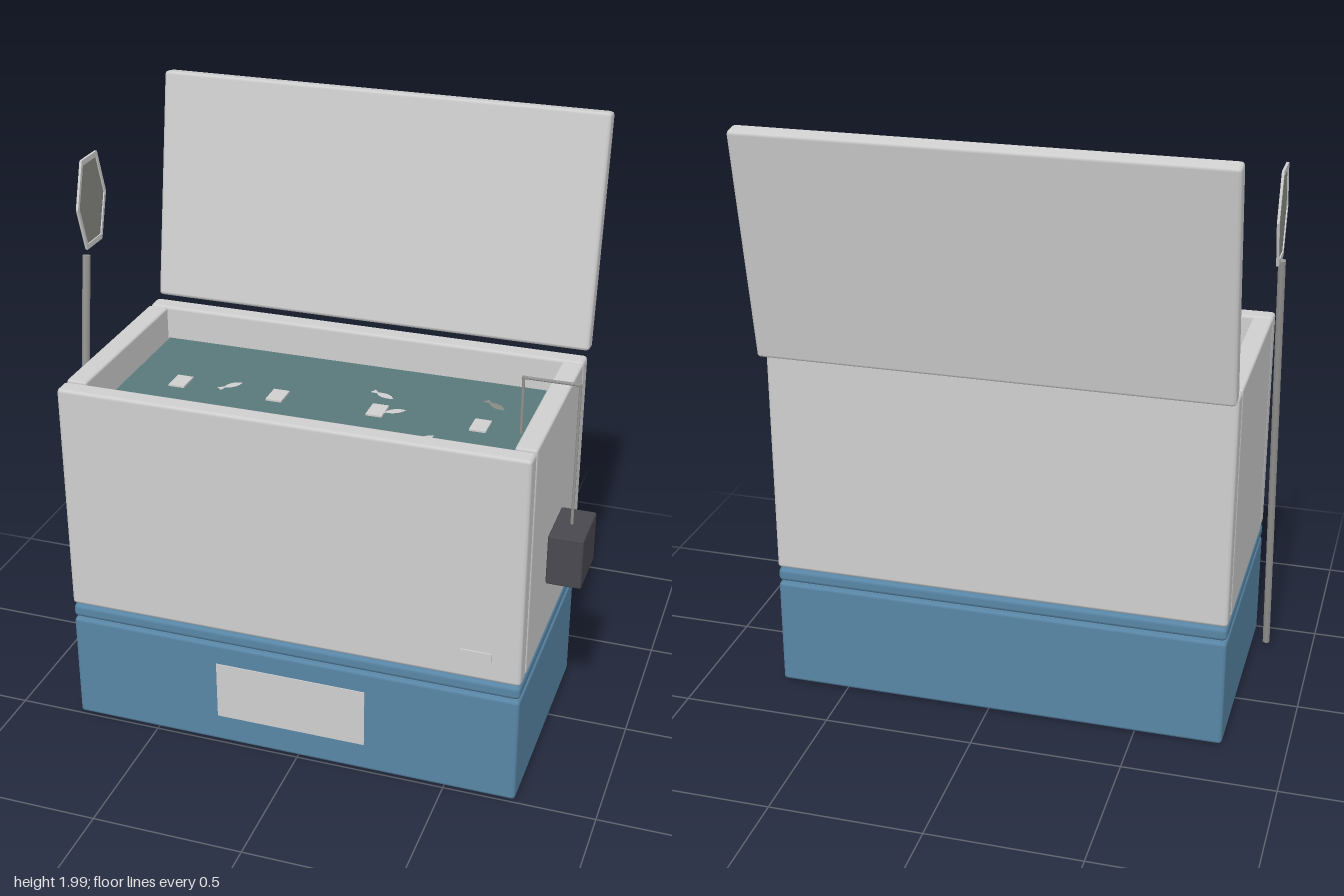
import * as THREE from 'three';
import { RoundedBoxGeometry } from 'three/addons/geometries/RoundedBoxGeometry.js';

const material = (name, color, side = THREE.FrontSide) => {
  const m = new THREE.MeshStandardMaterial({ color, side });
  m.name = name;
  return m;
};

export function createModel() {
  const model = new THREE.Group();
  model.name = 'liveFishTank';

  const shell = material('shellGrey', 0xcfcfcf, THREE.DoubleSide);
  const blue = material('baseBlue', 0x5986a6);
  const teal = material('waterTeal', 0x59787b);
  const dark = material('pumpDark', 0x49484f);
  const metal = material('metalGrey', 0x959593);
  const mesh = material('netGrey', 0x898b85, THREE.DoubleSide);

  const add = (name, geometry, mat, x = 0, y = 0, z = 0) => {
    const part = new THREE.Mesh(geometry, mat);
    part.name = name;
    part.position.set(x, y, z);
    model.add(part);
    return part;
  };
  // Box given by its limits, with chamfered edges when bevel > 0
  const block = (name, mat, [x0, x1], [y0, y1], [z0, z1], bevel = 0) => {
    const size = [x1 - x0, y1 - y0, z1 - z0];
    const g = bevel ? new RoundedBoxGeometry(...size, 1, bevel) : new THREE.BoxGeometry(...size);
    return add(name, g, mat, (x0 + x1) / 2, (y0 + y1) / 2, (z0 + z1) / 2);
  };

  const X = [-0.79, 0.735], Z = [-0.295, 0.492], wallY = [0.44, 1.228];

  // Base and trim band
  block('base', blue, X, [0.005, 0.382], Z, 0.012);
  block('trimBand', blue, X, [0.388, 0.435], Z, 0.015);
  block('frontLabel', shell, [-0.28, 0.23], [0.105, 0.31], [0.491, 0.495]);

  // Insulated walls
  block('frontWall', shell, X, wallY, [0.425, 0.492], 0.012);
  block('backWall', shell, X, wallY, [-0.295, -0.228], 0.012);
  block('rightWall', shell, [-0.79, -0.72], wallY, [-0.222, 0.419], 0.008);
  block('leftWall', shell, [0.665, 0.735], wallY, [-0.222, 0.419], 0.008);
  block('drainPlate', shell, [0.54, 0.64], [0.515, 0.545], [0.49, 0.497]);

  // Open lid, leaning back
  const lid = add('lid', new RoundedBoxGeometry(1.525, 0.775, 0.06, 1, 0.012), shell, -0.0275, 1.612, -0.398);
  lid.rotation.x = -0.171;

  // Water and floating tags
  block('water', teal, [-0.722, 0.667], [0.45, 1.112], [-0.23, 0.427]);
  for (const x of [-0.54, -0.2, 0.14, 0.48])
    block('floatingTag', shell, [x - 0.027, x + 0.027], [1.112, 1.118], [0.055, 0.135]);

  // Small flat fish at the surface: x, z, heading in degrees
  const outline = new THREE.Shape();
  outline.moveTo(0.045, 0);
  outline.quadraticCurveTo(0.01, 0.028, -0.025, 0.004);
  outline.lineTo(-0.045, 0.013);
  outline.lineTo(-0.045, -0.013);
  outline.lineTo(-0.025, -0.004);
  outline.quadraticCurveTo(0.01, -0.028, 0.045, 0);
  const fishGeometry = new THREE.ShapeGeometry(outline, 4).rotateX(-Math.PI / 2);
  const school = [
    [-0.37, 0.075, 50], [-0.425, 0.29, 35], [-0.445, 0.315, 60], [-0.35, 0.29, 68], [0.125, -0.015, -25],
    [0.19, 0.09, 30], [0.335, 0.245, 52], [0.435, 0.295, -65], [0.49, -0.055, -35],
  ];
  school.forEach(([x, z, angle], i) => {
    const last = i === school.length - 1;
    const fish = add('fish', fishGeometry, last ? mesh : shell, x, 1.117, z);
    fish.rotation.y = THREE.MathUtils.degToRad(angle);
  });

  // Air pump with its hooked hose
  block('airPump', dark, [0.735, 0.85], [0.645, 0.82], [0, 0.2], 0.006);
  const hose = (name, x, y0, y1) =>
    add(name, new THREE.CylinderGeometry(0.005, 0.005, y1 - y0, 6), metal, x, (y0 + y1) / 2, 0.1);
  hose('hoseRiser', 0.79, 0.815, 1.31);
  hose('hoseDrop', 0.612, 1.06, 1.31);
  const bridge = add('hoseBridge', new THREE.CylinderGeometry(0.005, 0.005, 0.182, 6), metal, 0.701, 1.305, 0.1);
  bridge.rotation.z = Math.PI / 2;

  // Landing net: leaning handle, hexagonal rim and mesh
  const handle = add('netHandle', new THREE.CylinderGeometry(0.013, 0.013, 1.52, 6), metal, -0.842, 0.782, 0.24);
  handle.rotation.x = -0.156;

  const hexagon = (Type, scale) => {
    const points = [[0.103, 0], [0.055, 0.15], [-0.055, 0.15], [-0.103, 0], [-0.055, -0.15], [0.055, -0.15]];
    return new Type(points.map(([a, b]) => new THREE.Vector2(a * scale, b * scale)));
  };
  const rimShape = hexagon(THREE.Shape, 1);
  rimShape.holes.push(hexagon(THREE.Path, 0.88));
  const rimGeometry = new THREE.ExtrudeGeometry(rimShape, { depth: 0.008, bevelEnabled: false });
  rimGeometry.translate(0, 0, -0.004).rotateY(Math.PI / 2);
  add('netRim', rimGeometry, shell, -0.842, 1.7, 0.063);
  const netGeometry = new THREE.ShapeGeometry(hexagon(THREE.Shape, 0.9)).rotateY(Math.PI / 2);
  add('netMesh', netGeometry, mesh, -0.842, 1.7, 0.063);

  return model;
}
